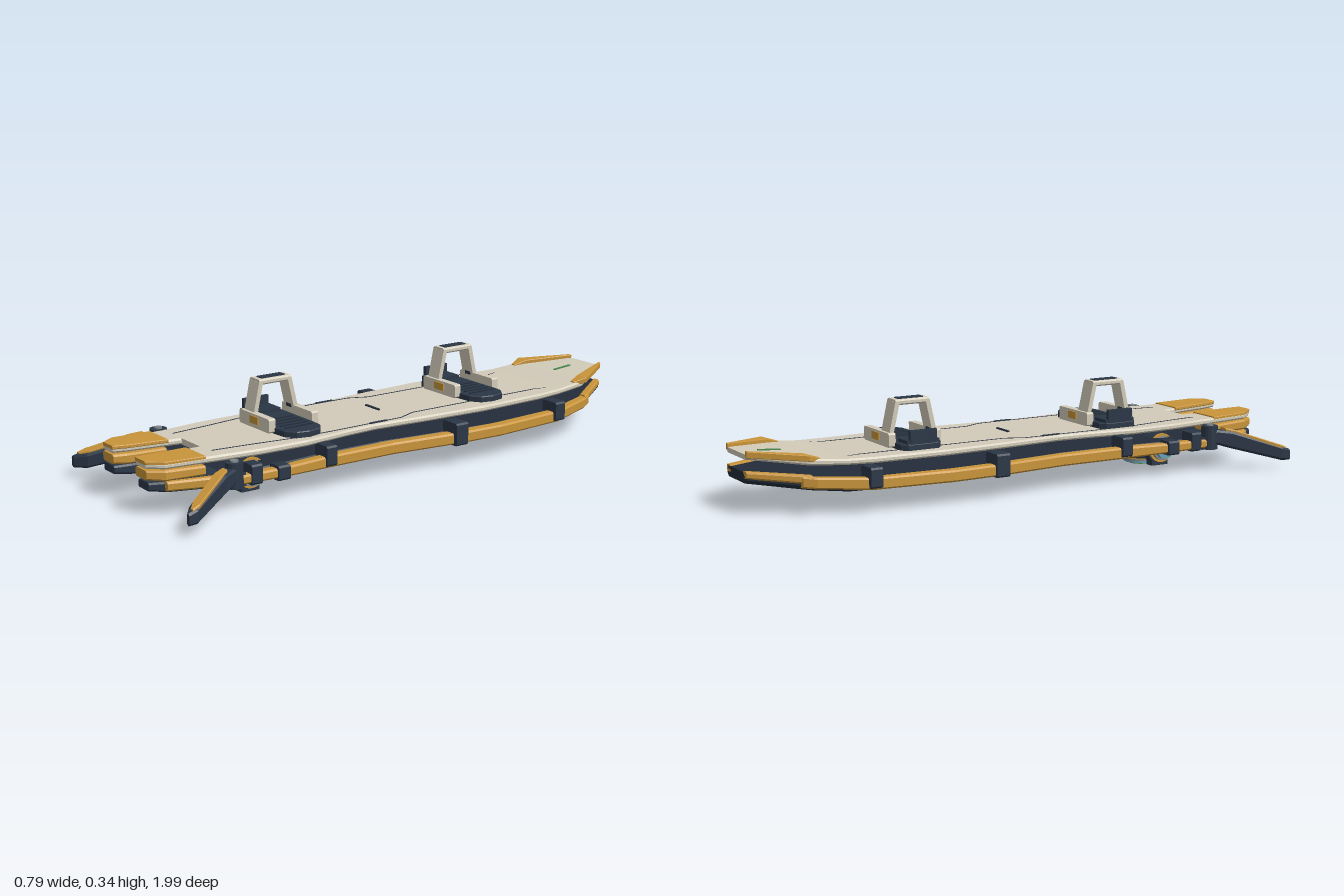
import * as THREE from 'three';

const mat = (color) => new THREE.MeshStandardMaterial({ color, flatShading: true, roughness: 0.8 });
const CREAM = mat(0xd2cbb9), DARK = mat(0x2b3747), ORANGE = mat(0xc8943a), HULL = mat(0x222c39),
  TEAL = mat(0x355760), BLUE = mat(0x6c9fb3), GREY = mat(0x7d8588), GREEN = mat(0x4b8a4f);

// Chamfered bar lofted along z; each station is [z, xMin, xMax, yMin, yMax]
function loft(stations, c = 0.006) {
  const pos = [], idx = [];
  for (const [z, a, b, lo, hi] of stations) {
    const k = Math.min(c, (b - a) * 0.45, (hi - lo) * 0.45);
    pos.push(a + k, lo, z, b - k, lo, z, b, lo + k, z, b, hi - k, z,
      b - k, hi, z, a + k, hi, z, a, hi - k, z, a, lo + k, z);
  }
  const last = (stations.length - 1) * 8;
  for (let s = 0; s < last; s += 8) {
    for (let i = 0; i < 8; i++) {
      const j = (i + 1) % 8;
      idx.push(s + i, s + j, s + 8 + j, s + i, s + 8 + j, s + 8 + i);
    }
  }
  for (let i = 1; i < 7; i++) idx.push(0, i + 1, i, last, last + i, last + i + 1);
  const g = new THREE.BufferGeometry();
  g.setAttribute('position', new THREE.Float32BufferAttribute(pos, 3));
  g.setIndex(idx);
  const flat = g.toNonIndexed();
  flat.computeVertexNormals();
  return flat;
}

function add(parent, name, geo, material, x = 0, y = 0, z = 0) {
  const m = new THREE.Mesh(geo, material);
  m.name = name;
  m.position.set(x, y, z);
  parent.add(m);
  return m;
}
const box = (p, name, material, w, h, d, x, y, z) => add(p, name, new THREE.BoxGeometry(w, h, d), material, x, y, z);

// Same lofted bar on both sides
function pair(parent, name, stations, material, c) {
  add(parent, name + 'Left', loft(stations, c), material);
  add(parent, name + 'Right', loft(stations.map(([z, a, b, lo, hi]) => [z, -b, -a, lo, hi]), c), material);
}
const symmetric = (rows) => rows.map(([z, w, lo, hi]) => [z, -w, w, lo, hi]);

// Thin groove line on the deck between two points [x, z]
function groove(parent, name, [x0, z0], [x1, z1], y, material = DARK, width = 0.004) {
  const m = box(parent, name, material, width, 0.003, Math.hypot(x1 - x0, z1 - z0), (x0 + x1) / 2, y, (z0 + z1) / 2);
  m.rotation.y = Math.atan2(x1 - x0, z1 - z0);
}

// Foot binding: pad, heel stop, side plates and raised arch
function binding(z) {
  const g = new THREE.Group();
  g.name = 'binding';
  g.position.set(0, 0.173, z);
  const s = new THREE.Shape([[-0.165, -0.055], [-0.145, -0.072], [0.05, -0.076], [0.13, -0.07], [0.165, -0.045],
    [0.175, 0], [0.165, 0.045], [0.13, 0.07], [0.05, 0.076], [-0.145, 0.072], [-0.165, 0.055]].map((p) => new THREE.Vector2(...p)));
  const pad = new THREE.ExtrudeGeometry(s, { depth: 0.018, bevelSize: 0.003, bevelThickness: 0.003, bevelSegments: 1 });
  add(g, 'footPad', pad.rotateX(-Math.PI / 2), DARK);
  for (let i = 0; i < 5; i++) box(g, 'padRib', HULL, 0.006, 0.005, 0.11, -0.01 + i * 0.03, 0.022, 0);
  const heel = box(g, 'heelStop', DARK, 0.014, 0.06, 0.1, -0.16, 0.037, 0);
  heel.rotation.z = 0.03;
  box(g, 'heelBase', DARK, 0.07, 0.022, 0.12, -0.13, 0.022, 0);
  for (const side of [-1, 1]) {
    add(g, 'sidePlate', loft([[-0.013, -0.105, 0.08, 0.004, 0.052], [0.013, -0.105, 0.08, 0.004, 0.052]], 0.005), CREAM, 0, 0, side * 0.086);
    box(g, 'sideBadge', ORANGE, 0.052, 0.026, 0.006, -0.01, 0.032, side * 0.1);
    const leg = box(g, 'archLeg', CREAM, 0.06, 0.115, 0.016, -0.06, 0.096, side * 0.07);
    leg.rotation.x = -side * 0.22;
    box(g, 'archInset', DARK, 0.03, 0.012, 0.008, -0.06, 0.048, side * 0.075);
  }
  add(g, 'archTop', loft([[-0.064, -0.09, -0.03, 0.142, 0.161], [0.064, -0.09, -0.03, 0.142, 0.161]], 0.005), CREAM);
  box(g, 'archGrip', DARK, 0.032, 0.004, 0.095, -0.06, 0.162, 0);
  return g;
}

export function createModel() {
  const root = new THREE.Group();
  root.name = 'board';

  // Upper deck with lifted nose and forked tail
  add(root, 'deck', loft(symmetric([[-1, 0.078, 0.183, 0.2], [-0.82, 0.185, 0.164, 0.186], [-0.7, 0.195, 0.155, 0.175],
    [-0.6, 0.202, 0.152, 0.173], [-0.33, 0.212, 0.152, 0.173], [-0.1, 0.2, 0.152, 0.173], [0.12, 0.182, 0.152, 0.173],
    [0.25, 0.19, 0.152, 0.173], [0.42, 0.21, 0.152, 0.173], [0.6, 0.205, 0.152, 0.173], [0.745, 0.187, 0.152, 0.173]])), CREAM);
  pair(root, 'deckFork', [[0.745, 0.055, 0.187, 0.152, 0.173], [0.94, 0.068, 0.178, 0.157, 0.177], [0.99, 0.077, 0.14, 0.159, 0.179]], CREAM);
  pair(root, 'forkPad', [[0.795, 0.056, 0.184, 0.166, 0.178], [0.94, 0.066, 0.177, 0.17, 0.182], [0.992, 0.075, 0.14, 0.172, 0.184]], ORANGE, 0.002);
  pair(root, 'noseWedge', [[-1, 0.075, 0.088, 0.19, 0.212], [-0.83, 0.145, 0.196, 0.18, 0.2], [-0.785, 0.158, 0.178, 0.172, 0.186]], ORANGE, 0.002);

  // Lower hull
  const hull = symmetric([[-1, 0.08, 0.104, 0.14], [-0.82, 0.19, 0.083, 0.128], [-0.7, 0.225, 0.072, 0.116],
    [-0.6, 0.235, 0.071, 0.114], [-0.33, 0.25, 0.071, 0.114], [-0.1, 0.23, 0.071, 0.114], [0.12, 0.205, 0.071, 0.114],
    [0.36, 0.205, 0.071, 0.114], [0.55, 0.22, 0.071, 0.114], [0.74, 0.215, 0.071, 0.114]]);
  add(root, 'hull', loft(hull, 0.012), HULL);
  pair(root, 'hullFork', [[0.74, 0.055, 0.215, 0.073, 0.114], [0.93, 0.065, 0.178, 0.08, 0.115], [0.985, 0.08, 0.15, 0.086, 0.113]], DARK);
  pair(root, 'forkSpacer', [[0.8, 0.06, 0.19, 0.116, 0.148], [0.94, 0.06, 0.18, 0.118, 0.153], [0.99, 0.073, 0.145, 0.122, 0.153]], ORANGE);
  pair(root, 'tailStrut', [[0.74, 0.215, 0.25, 0.085, 0.12], [0.94, 0.165, 0.19, 0.087, 0.118]], ORANGE);

  // Bumper rails, nose guards and clamps
  pair(root, 'sideRail', [[-0.63, 0.225, 0.265, 0.078, 0.118], [-0.35, 0.245, 0.29, 0.078, 0.118], [-0.17, 0.238, 0.283, 0.078, 0.118],
    [0.1, 0.21, 0.252, 0.078, 0.118], [0.36, 0.21, 0.252, 0.078, 0.118], [0.54, 0.225, 0.265, 0.082, 0.116], [0.72, 0.222, 0.262, 0.085, 0.115]]), ORANGE;
  for (const side of ['Left', 'Right']) root.getObjectByName('sideRail' + side).material = ORANGE;
  pair(root, 'noseRail', [[-0.85, 0.15, 0.19, 0.093, 0.132], [-0.81, 0.175, 0.214, 0.09, 0.128], [-0.63, 0.225, 0.268, 0.078, 0.118]], ORANGE);
  pair(root, 'noseGuard', [[-1, 0.05, 0.084, 0.12, 0.144], [-0.82, 0.17, 0.205, 0.105, 0.134]], ORANGE);
  for (const [z, x, w, d, lo, hi] of [[-0.63, 0.242, 0.075, 0.042, 0.086, 0.154], [-0.165, 0.256, 0.078, 0.05, 0.075, 0.155],
    [0.36, 0.226, 0.074, 0.04, 0.086, 0.155], [0.553, 0.245, 0.056, 0.045, 0.075, 0.125], [0.655, 0.237, 0.062, 0.04, 0.078, 0.145]]) {
    pair(root, 'railClamp', [[z - d / 2, x - w / 2, x + w / 2, lo, hi], [z + d / 2, x - w / 2, x + w / 2, lo, hi]], DARK);
  }

  // Rear fins on pivots
  pair(root, 'fin', [[0.725, 0.215, 0.268, 0.1, 0.15], [0.79, 0.236, 0.3, 0.08, 0.142], [0.95, 0.338, 0.392, 0.036, 0.086], [0.982, 0.378, 0.394, 0.035, 0.076]], DARK, 0.008);
  pair(root, 'finCap', [[0.775, 0.25, 0.28, 0.135, 0.153], [0.81, 0.258, 0.304, 0.12, 0.144], [0.94, 0.342, 0.384, 0.075, 0.096], [0.965, 0.372, 0.388, 0.07, 0.086]], ORANGE, 0.003);
  for (const s of [-1, 1]) {
    add(root, 'finPivot', new THREE.CylinderGeometry(0.03, 0.03, 0.085, 16), DARK, s * 0.245, 0.12, 0.728);
    add(root, 'pivotCap', new THREE.CylinderGeometry(0.014, 0.014, 0.006, 16), GREY, s * 0.245, 0.165, 0.728);
    box(root, 'pivotMount', DARK, 0.08, 0.045, 0.06, s * 0.215, 0.1, 0.72);
  }

  // Underside access panels with bolts
  for (const [z0, z1, w0, w1] of [[-0.76, -0.43, 0.115, 0.135], [-0.33, 0.05, 0.14, 0.115], [0.13, 0.34, 0.11, 0.09]]) {
    add(root, 'bellyPanel', loft(symmetric([[z0, w0 - 0.02, 0.064, 0.08], [z0 + 0.03, w0, 0.064, 0.08],
      [z1 - 0.03, w1, 0.064, 0.08], [z1, w1 - 0.02, 0.064, 0.08]]), 0.003), TEAL);
    for (const s of [-1, 1]) for (const [z, w] of [[z0 + 0.03, w0], [z1 - 0.03, w1]]) {
      add(root, 'panelBolt', new THREE.CylinderGeometry(0.006, 0.006, 0.006, 8), HULL, s * (w - 0.02), 0.063, z);
    }
  }

  // Thruster: stepped nozzle below, side ports and skids
  const thruster = new THREE.Group();
  thruster.name = 'thruster';
  thruster.position.z = 0.595;
  root.add(thruster);
  for (const [name, r, lo, hi, m] of [['housing', 0.115, 0.035, 0.085, DARK], ['outerRing', 0.09, 0.026, 0.04, ORANGE],
    ['middleRing', 0.077, 0.017, 0.03, GREY], ['innerRing', 0.06, 0.006, 0.02, BLUE], ['core', 0.042, 0, 0.01, GREEN]]) {
    add(thruster, name, new THREE.CylinderGeometry(r + (name === 'housing' ? 0.012 : 0), r, hi - lo, 32), m, 0, (lo + hi) / 2, 0);
  }
  for (const s of [-1, 1]) {
    for (const [name, r, x, w, m] of [['portBody', 0.058, 0.105, 0.05, DARK], ['portRing', 0.053, 0.132, 0.012, ORANGE],
      ['portRim', 0.044, 0.142, 0.014, GREY], ['portLens', 0.036, 0.15, 0.03, BLUE]]) {
      add(thruster, name, new THREE.CylinderGeometry(r, r, w, 24).rotateZ(Math.PI / 2), m, s * x, 0.075, 0);
    }
    box(thruster, 'skid', DARK, 0.034, 0.05, 0.07, s * 0.11, 0.035, 0);
  }

  // Deck grooves and markers
  const line = [[0.15, -0.69], [0.132, -0.63], [0.132, -0.07], [0.162, 0], [0.165, 0.3], [0.165, 0.42], [0.14, 0.6], [0.125, 0.74]];
  for (const s of [-1, 1]) {
    for (let i = 1; i < line.length; i++) {
      groove(root, 'deckGroove', [s * line[i - 1][0], line[i - 1][1]], [s * line[i][0], line[i][1]], 0.173);
    }
    box(root, 'deckMarker', DARK, 0.008, 0.006, 0.07, s * 0.165, 0.174, 0.1);
  }
  box(root, 'centreMark', DARK, 0.08, 0.006, 0.008, 0, 0.175, 0.005);
  const light = box(root, 'noseLight', GREEN, 0.008, 0.006, 0.08, 0, 0.192, -0.885);
  light.rotation.x = 0.08;

  for (const z of [-0.4, 0.39]) root.add(binding(z));
  return root;
}
